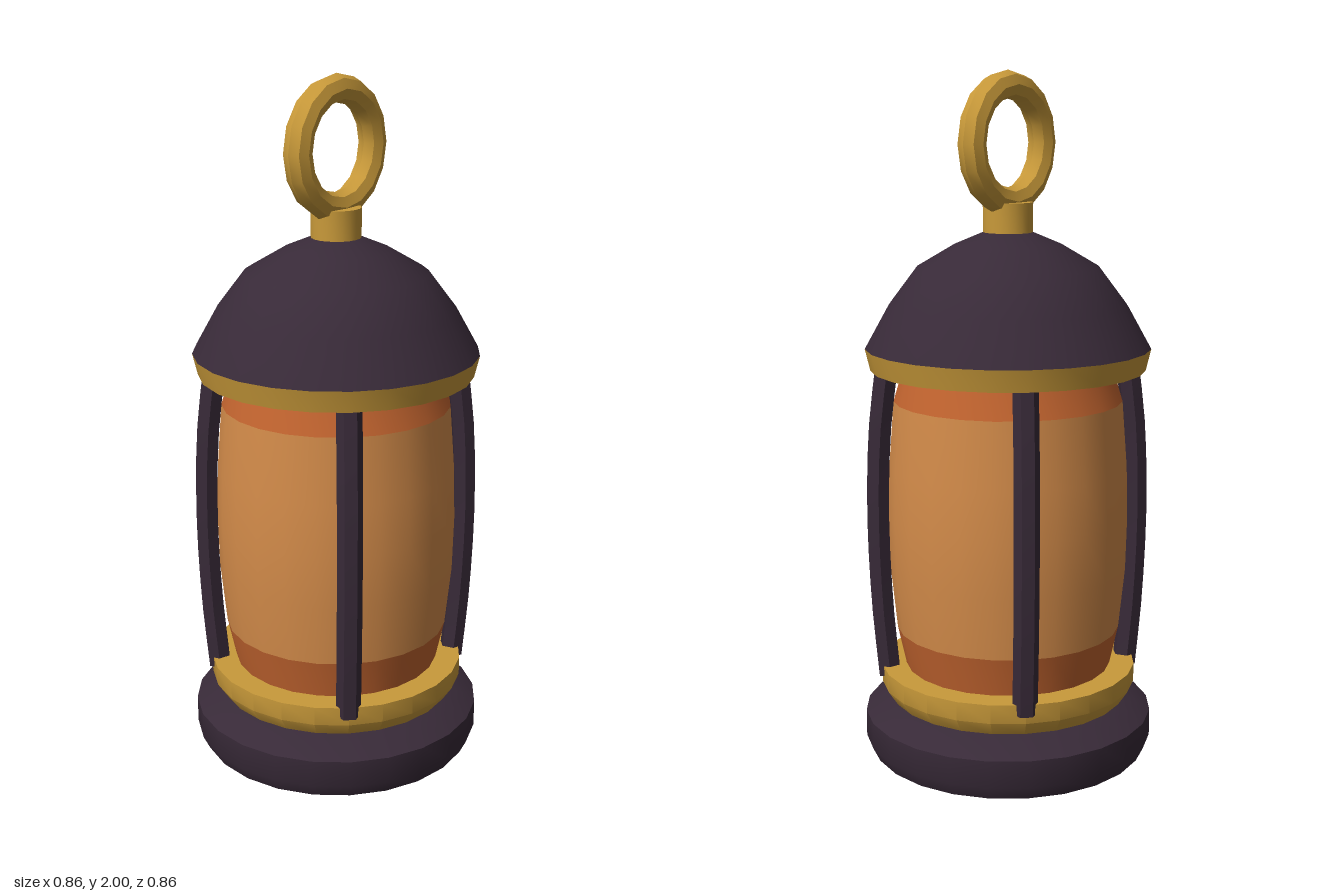
import * as THREE from 'three';
import { toCreasedNormals } from 'three/addons/utils/BufferGeometryUtils.js';

const SIDES = 24;

export function createModel() {
  const lantern = new THREE.Group();
  lantern.name = 'lantern';

  const material = (name, color) => {
    const m = new THREE.MeshStandardMaterial({ color });
    m.name = name;
    return m;
  };
  const iron = material('dark iron', 0x382a38);
  const brass = material('brass', 0xc99a3a);
  const amber = material('amber glass', 0xd48c4a);
  const rust = material('deep orange glass', 0xc2642f);

  const add = (name, geometry, mat, parent = lantern) => {
    const mesh = new THREE.Mesh(toCreasedNormals(geometry, 0.6), mat);
    mesh.name = name;
    parent.add(mesh);
    return mesh;
  };
  // Turned part: profile of [radius, height] pairs, bottom to top
  const turned = (name, profile, mat, sides = SIDES) =>
    add(name, new THREE.LatheGeometry(profile.map(([r, y]) => new THREE.Vector2(r, y)), sides), mat);

  // Base and lower collar
  turned('base', [[0, 0], [0.41, 0], [0.43, 0.04], [0.43, 0.12], [0.355, 0.168], [0, 0.168]], iron);
  turned('lowerCollar', [[0.35, 0.165], [0.38, 0.21], [0.38, 0.265], [0, 0.265]], brass);

  // Bulging glass with a darker band at each end
  turned('lowerGlassBand', [[0.305, 0.255], [0.332, 0.38]], rust);
  turned('glass', [[0.332, 0.38], [0.35, 0.56], [0.354, 0.72], [0.35, 0.87], [0.335, 1.065]], amber);
  turned('upperGlassBand', [[0.335, 1.065], [0.305, 1.165]], rust);

  // Cap
  turned('upperCollar', [[0, 1.157], [0.4, 1.157], [0.415, 1.22], [0, 1.22]], brass);
  turned('dome', [[0.415, 1.22], [0.348, 1.34], [0.265, 1.45], [0.155, 1.515], [0.06, 1.555], [0, 1.56]], iron);

  // Neck and carrying ring
  turned('neck', [[0.072, 1.54], [0.072, 1.635], [0, 1.635]], brass, 20);
  add('ring', new THREE.TorusGeometry(0.163, 0.04, 8, 16), brass).position.y = 1.8;

  // Four bowed bars on the diagonals, with closed ends
  const bow = [[0.358, 0.235], [0.376, 0.45], [0.385, 0.72], [0.376, 0.98], [0.352, 1.18]];
  const curve = new THREE.CatmullRomCurve3(bow.map(([r, y]) => new THREE.Vector3(r, y, 0)));
  for (let i = 0; i < 4; i++) {
    const bar = new THREE.Group();
    bar.name = 'bar' + (i + 1);
    bar.rotation.y = Math.PI / 4 + i * Math.PI / 2;
    add('barShaft', new THREE.TubeGeometry(curve, 10, 0.036, 6, false), iron, bar);
    const foot = add('barFoot', new THREE.CircleGeometry(0.036, 6), iron, bar);
    foot.position.set(0.358, 0.235, 0);
    foot.rotation.x = Math.PI / 2;
    lantern.add(bar);
  }

  return lantern;
}
